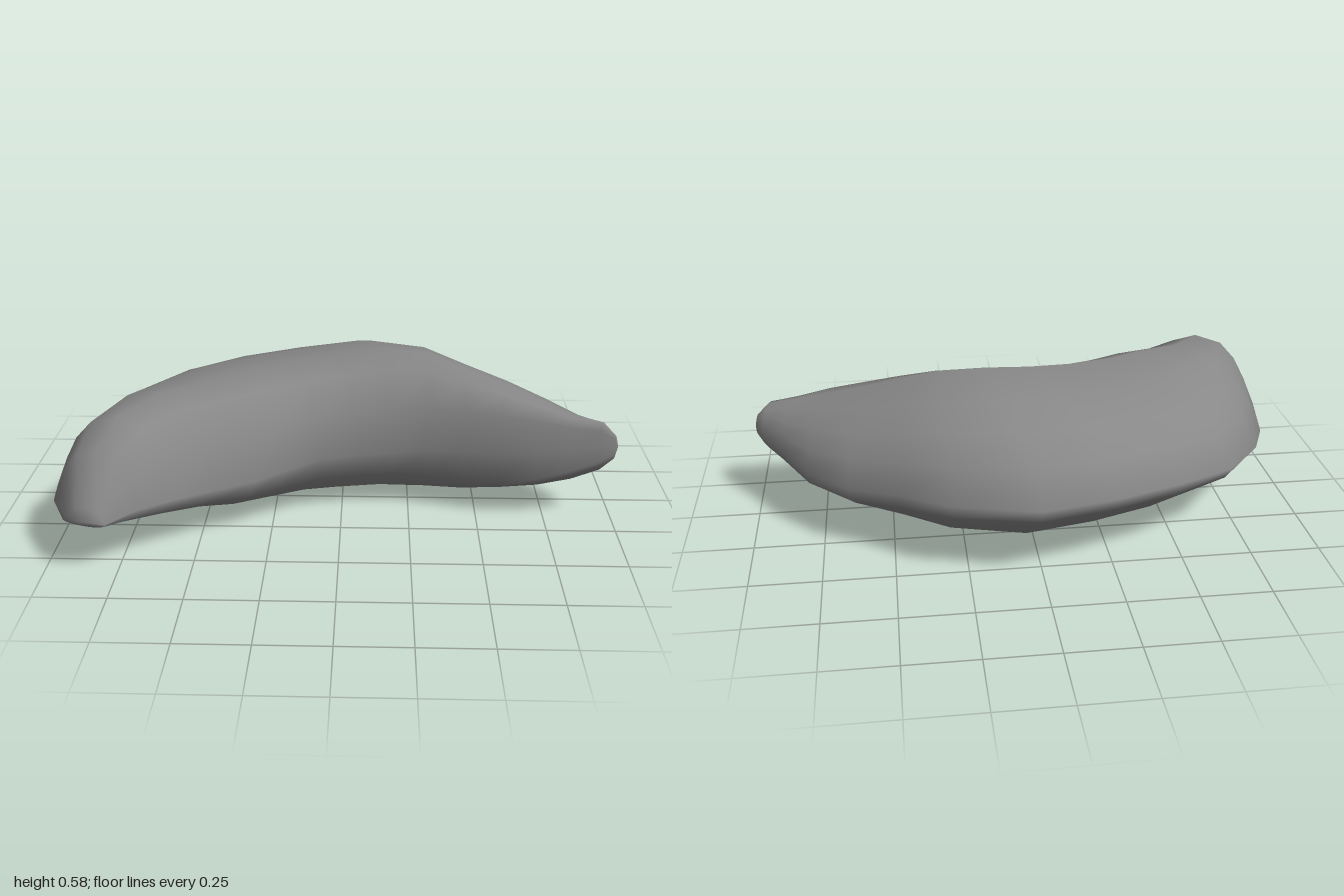
import * as THREE from 'three';

// Cross-section profiles: u runs from the outer (0) to the inner (1) edge, v from bottom to top
const LEFT_END = [[0, .2], [.1, .5], [.2, .74], [.33, .92], [.55, 1], [.75, .92], [.91, .58], [1, .22],
  [.96, .1], [.84, .03], [.66, 0], [.45, .01], [.25, .05], [.08, .12]];
const MIDDLE = [[0, .49], [.09, .7], [.24, .83], [.45, .925], [.74, 1], [.88, .92], [.97, .7], [1, .42],
  [.95, .24], [.84, .1], [.69, 0], [.46, .14], [.2, .21], [.03, .4]];
const RIGHT_END = [[0, .42], [.1, .63], [.25, .79], [.46, .91], [.72, .99], [.87, .99], [.97, .86], [1, .52],
  [.98, .2], [.87, .1], [.7, 0], [.5, .06], [.25, .15], [.05, .27]];

// Stations along the bend: outer x, z; inner x, z; bottom y, top y; profile blend (-1 left end, 0 middle, 1 right end)
const STATIONS = [
  [-.92, .575, -.77, .61, .18, .25, -1],
  [-.98, .46, -.67, .53, .155, .415, -1],
  [-1, .33, -.55, .44, .13, .49, -1],
  [-.95, .07, -.42, .35, .09, .515, -.8],
  [-.87, -.12, -.3, .3, .05, .53, -.45],
  [-.72, -.32, -.2, .23, .02, .54, -.2],
  [-.5, -.46, -.07, .16, .005, .55, 0],
  [-.26, -.55, .07, .13, 0, .565, 0],
  [.01, -.62, .2, .12, 0, .58, 0],
  [.3, -.54, .32, .12, .01, .57, .15],
  [.47, -.41, .45, .14, .03, .53, .4],
  [.65, -.31, .58, .165, .06, .485, .7],
  [.8, -.16, .7, .18, .1, .445, 1],
  [.9, 0, .82, .18, .15, .41, 1],
  [.97, .09, .93, .173, .2, .39, 1],
  [.997, .14, .985, .165, .25, .34, 1],
];

function ring([ox, oz, ix, iz, bottom, top, blend]) {
  const end = blend < 0 ? LEFT_END : RIGHT_END;
  const lerp = THREE.MathUtils.lerp;
  return MIDDLE.map((m, k) => {
    const u = lerp(m[0], end[k][0], Math.abs(blend));
    const v = lerp(m[1], end[k][1], Math.abs(blend));
    return new THREE.Vector3(lerp(ox, ix, u), lerp(bottom, top, v), lerp(oz, iz, u));
  });
}

// Skin the rings and close both tips with a fan
function loft(rings, startTip, endTip) {
  const n = rings[0].length, last = (rings.length - 1) * n;
  const points = [...rings.flat(), startTip, endTip];
  const start = points.length - 2, finish = points.length - 1;
  const index = [];
  for (let j = 0; j < n; j++) {
    const k = (j + 1) % n;
    for (let i = 0; i < rings.length - 1; i++) {
      const a = i * n, b = a + n;
      index.push(a + j, a + k, b + j, a + k, b + k, b + j);
    }
    index.push(start, k, j, finish, last + j, last + k);
  }
  const geometry = new THREE.BufferGeometry().setFromPoints(points);
  geometry.setIndex(index);
  geometry.computeVertexNormals();
  return geometry;
}

export function createModel() {
  const group = new THREE.Group();
  group.name = 'curvedBody';
  const geometry = loft(
    STATIONS.map(ring),
    new THREE.Vector3(-.85, .21, .62),
    new THREE.Vector3(1, .295, .155),
  );
  const body = new THREE.Mesh(geometry, new THREE.MeshStandardMaterial({ color: 0x888888 }));
  body.name = 'body';
  group.add(body);
  return group;
}
